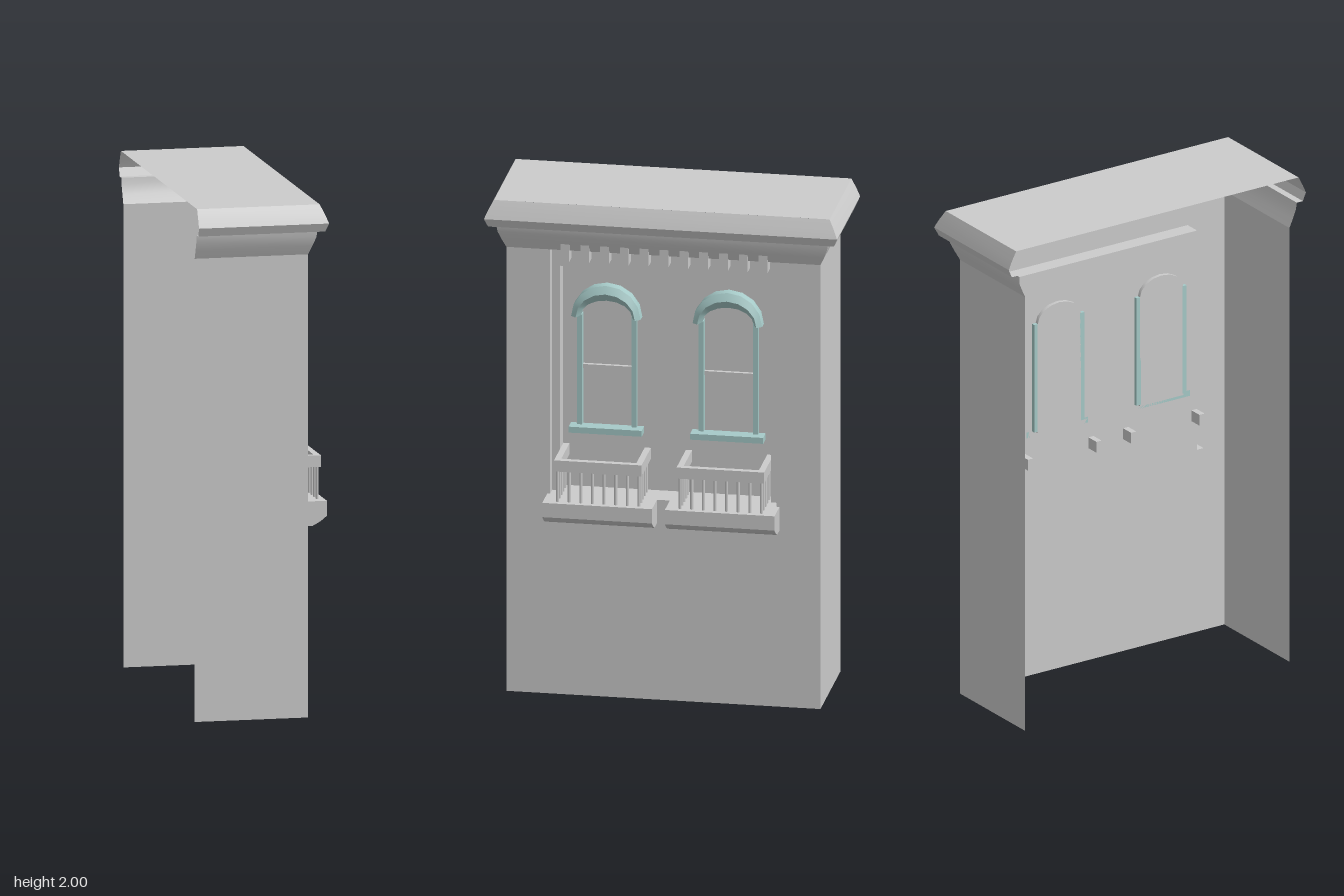
import * as THREE from 'three';
import { toCreasedNormals } from 'three/addons/utils/BufferGeometryUtils.js';

const grey = new THREE.MeshStandardMaterial({ color: 0xcccccc, side: THREE.DoubleSide });
const teal = new THREE.MeshStandardMaterial({ color: 0xa6cac8, side: THREE.DoubleSide });

// Local frame: the facade faces +z, x runs across it; the whole is turned to +x at the end.
const W = 0.61, BACK = -0.28, FRONT = 0.165, STEP = 0.12, PANEL = 0.055, GLASS = 0.04;
const FLOOR = 0.81, WALL_TOP = 1.8;

function add(parent, name, geometry, material = grey) {
  const mesh = new THREE.Mesh(geometry, material);
  mesh.name = name;
  parent.add(mesh);
  return mesh;
}

// Box given by its ranges on each axis
function box(parent, name, x0, x1, y0, y1, z0, z1, material) {
  const g = new THREE.BoxGeometry(x1 - x0, y1 - y0, z1 - z0);
  g.translate((x0 + x1) / 2, (y0 + y1) / 2, (z0 + z1) / 2);
  return add(parent, name, g, material);
}

// Skin over a row of equal-length cross-sections
function loft(rings, crease = 0.6) {
  const n = rings[0].length, index = [];
  for (let i = 0; i < rings.length - 1; i++) {
    for (let j = 0; j < n - 1; j++) {
      const a = i * n + j, b = a + n;
      index.push(a, b, a + 1, a + 1, b, b + 1);
    }
  }
  const g = new THREE.BufferGeometry();
  g.setAttribute('position', new THREE.Float32BufferAttribute(rings.flat(2), 3));
  g.setIndex(index);
  return toCreasedNormals(g.toNonIndexed(), crease);
}

const rect = (hw, y0, y1) => [[-hw, y0], [hw, y0], [hw, y1], [-hw, y1]];
const toPath = (pts) => pts.map(([x, y]) => new THREE.Vector2(x, y));

// Flat sheet with holes at depth z
function sheet(parent, name, outline, holes, z) {
  const shape = new THREE.Shape(toPath(outline));
  holes.forEach((h) => shape.holes.push(new THREE.Path(toPath(h))));
  return add(parent, name, new THREE.ShapeGeometry(shape).translate(0, 0, z));
}

// Edge strip joining an outline at two depths
function reveal(parent, name, outline, z0, z1) {
  const loop = [...outline, outline[0]];
  return add(parent, name, loft([z1, z0].map((z) => loop.map(([x, y]) => [x, y, z]))));
}

// Half-ellipse points from right to left
function arch(cx, y, hw, rise, n = 8) {
  return Array.from({ length: n + 1 }, (_, i) => {
    const t = (i / n) * Math.PI;
    return [cx + hw * Math.cos(t), y + rise * Math.sin(t)];
  });
}

const windowOutline = (cx) => [[cx - 0.1, 1.06], [cx + 0.1, 1.06], ...arch(cx, 1.51, 0.1, 0.07)];

function buildWindow(cx) {
  const g = new THREE.Group();
  g.name = 'window';
  const outline = windowOutline(cx);
  sheet(g, 'pane', outline, [], GLASS);
  reveal(g, 'windowReveal', outline, GLASS, PANEL);
  box(g, 'meetingRail', cx - 0.1, cx + 0.1, 1.288, 1.304, GLASS, 0.055);
  box(g, 'sill', cx - 0.142, cx + 0.142, 1.042, 1.066, PANEL, 0.11, teal);
  for (const s of [-1, 1]) {
    const c = cx + s * 0.106;
    box(g, 'jamb', c - 0.01, c + 0.01, 1.066, 1.512, GLASS, 0.075, teal);
  }
  // Arched hood: outer edge, ridge and sloping inner face
  const section = [[0.135, 0.13, PANEL], [0.135, 0.13, 0.095], [0.115, 0.1, 0.11],
    [0.1, 0.065, 0.08], [0.1, 0.065, PANEL]];
  const curves = section.map(([hw, rise, z]) => arch(cx, 1.51, hw, rise).map(([x, y]) => [x, y, z]));
  add(g, 'hood', loft(curves, 0.5), teal);
  for (const end of [0, 8]) {
    const foot = toPath(section.map(([hw, , z]) => [hw, z]));
    const cap = new THREE.ShapeGeometry(new THREE.Shape(foot)).rotateX(Math.PI / 2);
    if (end) cap.scale(-1, 1, 1);
    add(g, 'hoodFoot', cap.translate(cx, 1.51, 0), teal);
  }
  return g;
}

function buildBalcony(side) {
  const g = new THREE.Group();
  g.name = 'balcony';
  // Slab with a chamfered underside
  const profile = toPath([[-FRONT, 0.715], [-0.22, 0.715], [-0.25, 0.731], [-0.276, 0.752],
    [-0.276, FLOOR], [-FRONT, FLOOR]]);
  const slab = new THREE.ExtrudeGeometry(new THREE.Shape(profile), { depth: 0.426, bevelEnabled: false });
  slab.rotateY(Math.PI / 2).translate(side * 0.238 - 0.213, 0, 0);
  add(g, 'slab', toCreasedNormals(slab, 0.75));

  // Handrail on three sides, its arms running into the wall
  const c = side * 0.238, h = 0.17, t = 0.024, y0 = 0.935, y1 = 0.98, out = 0.262;
  box(g, 'frontRail', c - h, c + h, y0, y1, out - t, out);
  box(g, 'sideRail', c - h, c - h + t, y0, y1, 0, out - t);
  box(g, 'sideRail', c + h - t, c + h, y0, y1, 0, out - t);

  // Balusters
  const bar = new THREE.CylinderGeometry(0.006, 0.006, y0 - FLOOR, 8);
  const place = (x, z) => add(g, 'baluster', bar).position.set(x, (y0 + FLOOR) / 2, z);
  const e = h - t / 2, zf = out - t / 2;
  for (let i = 0; i < 8; i++) place(c - e + (2 * e * i) / 7, zf);
  for (const s of [-1, 1]) for (let i = 1; i < 5; i++) place(c + s * e, zf - i * 0.041);
  return g;
}

export function createModel() {
  const model = new THREE.Group();
  const building = new THREE.Group();
  building.name = 'building';
  building.rotation.y = Math.PI / 2;
  model.add(building);

  // Side walls, open at the back
  for (const s of [-1, 1]) {
    const wall = new THREE.PlaneGeometry(FRONT - BACK, WALL_TOP).rotateY((s * Math.PI) / 2);
    add(building, 'sideWall', wall.translate(s * W, WALL_TOP / 2, (FRONT + BACK) / 2));
  }

  // Front wall with a twice-stepped recess
  const outer = rect(0.44, FLOOR, 1.81), inner = rect(0.41, FLOOR, 1.72);
  sheet(building, 'frontWall', rect(W, 0, 1.85), [outer], FRONT);
  reveal(building, 'outerReveal', outer, STEP, FRONT);
  const stepFrame = [[-0.44, FLOOR], [-0.41, FLOOR], [-0.41, 1.72], [0.41, 1.72], [0.41, FLOOR],
    [0.44, FLOOR], [0.44, 1.81], [-0.44, 1.81]];
  sheet(building, 'stepFrame', stepFrame, [], STEP);
  reveal(building, 'innerReveal', inner, PANEL, STEP);
  const centres = [-0.236, 0.236];
  sheet(building, 'recessPanel', inner, centres.map(windowOutline), PANEL);
  const ledge = new THREE.PlaneGeometry(0.88, STEP - PANEL).rotateX(-Math.PI / 2);
  add(building, 'ledge', ledge.translate(0, FLOOR, (STEP + PANEL) / 2));

  centres.forEach((cx) => building.add(buildWindow(cx)));
  [-1, 1].forEach((s) => building.add(buildBalcony(s)));

  // Row of dentils under the cornice
  for (let i = 0; i < 11; i++) {
    const x = (i - 5) * 0.077 + 0.004;
    box(building, 'dentil', x - 0.017, x + 0.017, 1.757, 1.835, STEP, 0.176);
  }

  // Cornice: moulding profile (offset, height) mitred round three sides
  const moulding = [[0, 1.8], [0.016, 1.835], [0.03, 1.87], [0.034, 1.897], [0.062, 1.897],
    [0.076, 1.93], [0.062, 1.962], [0.042, 2]];
  const corners = [[-1, 0], [-1, 1], [1, 1], [1, 0]];
  const rings = corners.map(([s, front]) => moulding.map(([o, y]) =>
    [s * (W + o), y, front ? FRONT + o * 0.86 : BACK]));
  add(building, 'cornice', loft(rings));

  // Flat roof
  const hw = W + 0.042, zf = FRONT + 0.036;
  const roof = new THREE.PlaneGeometry(2 * hw, zf - BACK).rotateX(-Math.PI / 2);
  add(building, 'roof', roof.translate(0, 2, (zf + BACK) / 2));

  return model;
}
